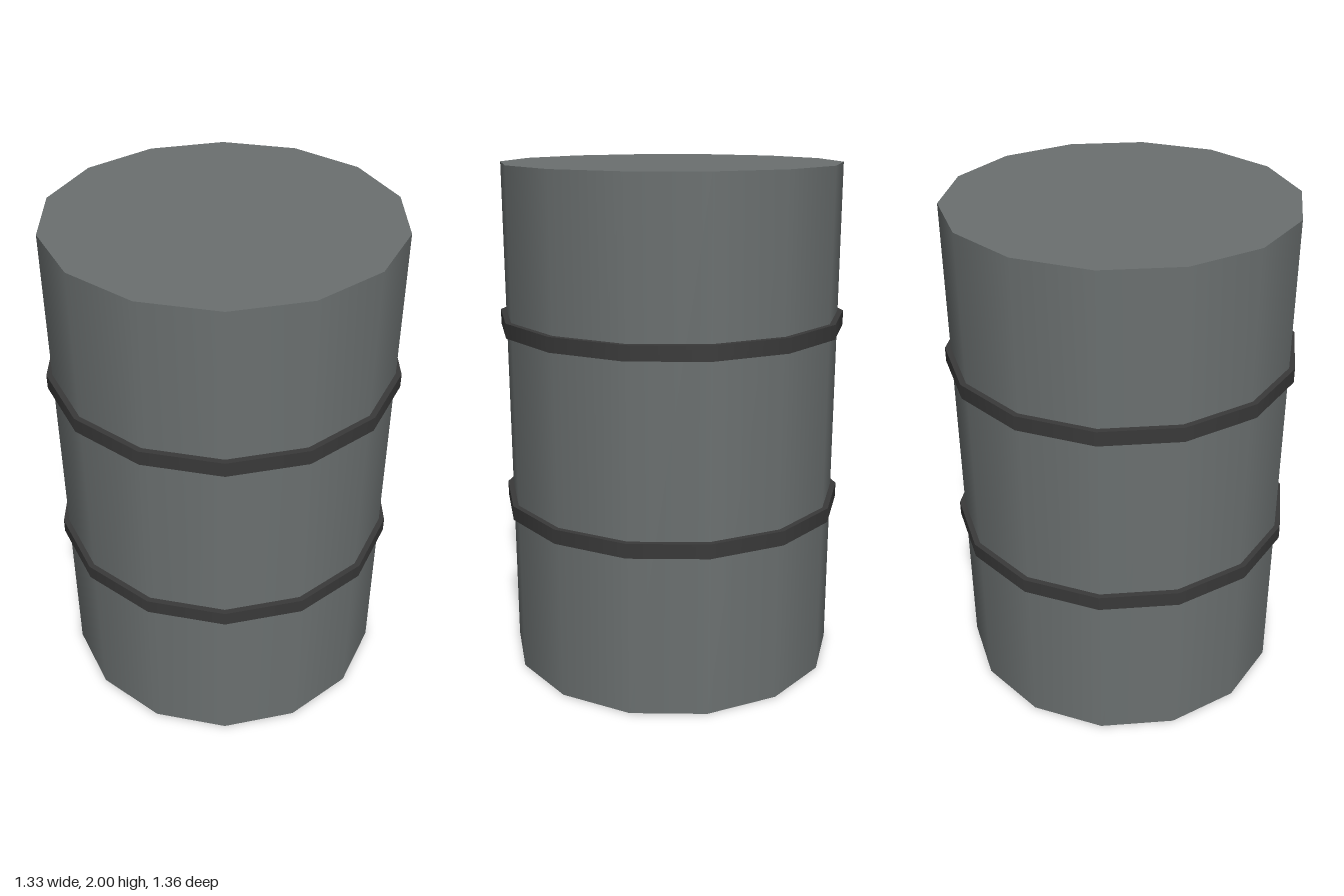
import * as THREE from 'three';

const SIDES = 14;

export function createModel() {
  const group = new THREE.Group();
  group.name = 'barrel';

  const bodyGrey = new THREE.MeshStandardMaterial({ color: 0x6b7070 });
  bodyGrey.name = 'body grey';
  const bandGrey = new THREE.MeshStandardMaterial({ color: 0x393939 });
  bandGrey.name = 'band dark grey';

  // Upright cylinder with smooth sides and flat caps
  const addDrum = (name, radius, bottom, top, material) => {
    const geometry = new THREE.CylinderGeometry(radius, radius, top - bottom, SIDES);
    const mesh = new THREE.Mesh(geometry, material);
    mesh.name = name;
    mesh.position.y = (bottom + top) / 2;
    group.add(mesh);
  };

  addDrum('body', 0.66, 0, 2, bodyGrey);

  // Hoops around the body
  addDrum('lowerBand', 0.682, 0.64, 0.697, bandGrey);
  addDrum('upperBand', 0.682, 1.367, 1.424, bandGrey);

  return group;
}
